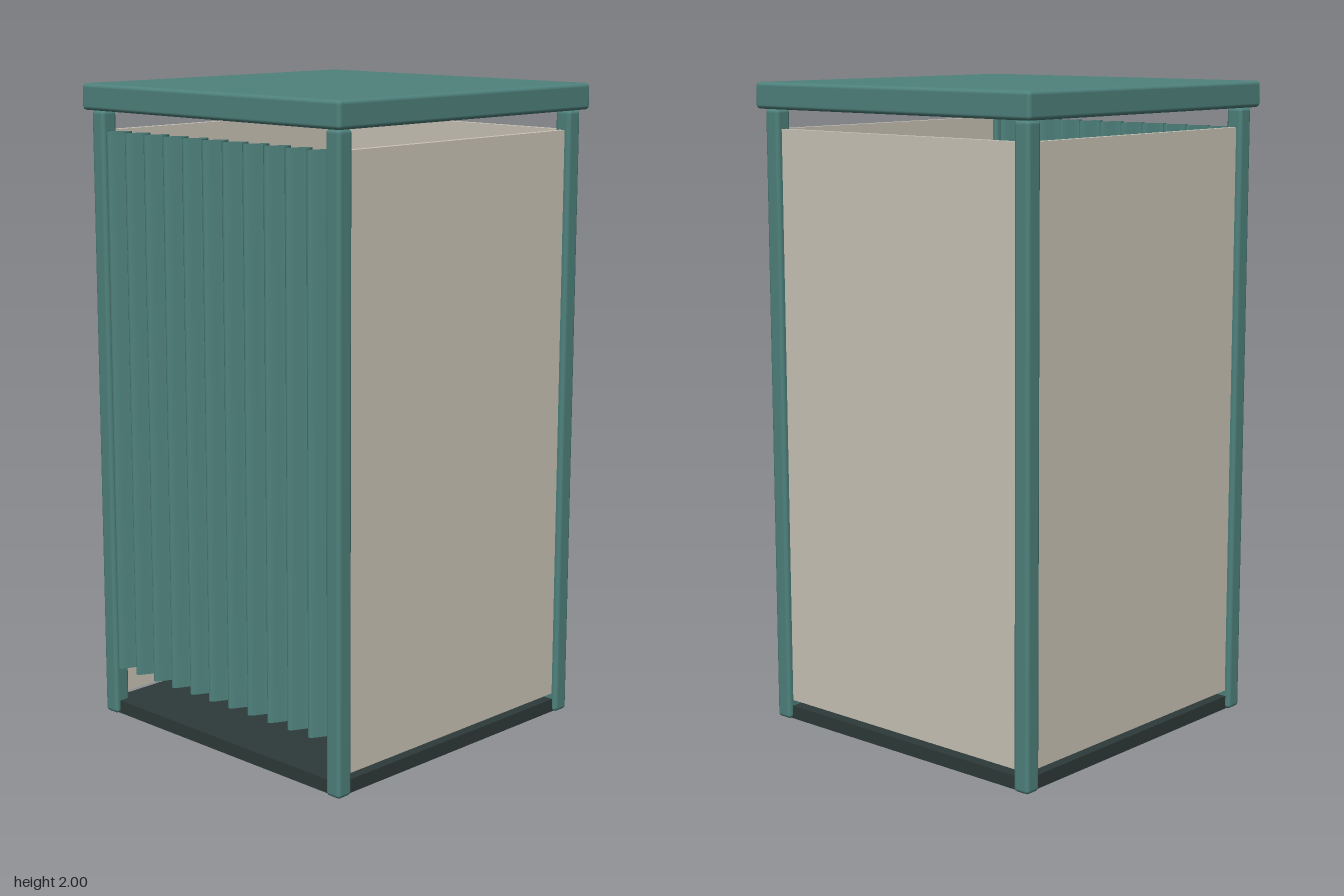
import * as THREE from 'three';
import { RoundedBoxGeometry } from 'three/addons/geometries/RoundedBoxGeometry.js';

export function createModel() {
  const group = new THREE.Group();
  group.name = 'changingCabin';

  const material = (name, color, extra = {}) => {
    const m = new THREE.MeshStandardMaterial({ color, ...extra });
    m.name = name;
    return m;
  };
  const teal = material('teal', 0x4f827d, { side: THREE.DoubleSide });
  const beige = material('beige', 0xcbc5b8);
  const dark = material('darkFloor', 0x2e3b39);

  const add = (name, geometry, mat, x, y, z) => {
    const mesh = new THREE.Mesh(geometry, mat);
    mesh.name = name;
    mesh.position.set(x, y, z);
    group.add(mesh);
    return mesh;
  };

  const post = 0.055;         // post thickness
  const line = 0.4975;        // centre line of posts, panels and curtain
  const panelHeight = 1.8;

  // Roof slab and floor
  add('roof', new RoundedBoxGeometry(1.09, 0.08, 1.09, 3, 0.012), teal, 0, 1.96, 0);
  add('floor', new THREE.BoxGeometry(1.02, 0.042, 1.02), dark, 0, 0.021, 0);

  // Four corner posts
  const postGeometry = new RoundedBoxGeometry(post, 1.92, post, 3, 0.012);
  for (const [side, sx] of [['left', 1], ['right', -1]]) {
    for (const [end, sz] of [['Front', 1], ['Back', -1]]) {
      add(`${side}${end}Post`, postGeometry, teal, sx * line, 0.96, sz * line);
    }
  }

  // Side and back wall panels
  const panelGeometry = new THREE.BoxGeometry(0.945, panelHeight, 0.02);
  const panelY = 0.06 + panelHeight / 2;
  add('backPanel', panelGeometry, beige, 0, panelY, -line);
  add('leftPanel', panelGeometry, beige, line, panelY, 0).rotation.y = Math.PI / 2;
  add('rightPanel', panelGeometry, beige, -line, panelY, 0).rotation.y = -Math.PI / 2;

  // Front curtain: a sheet rippled into eleven folds
  const width = 0.94, folds = 11;
  const curtain = new THREE.PlaneGeometry(width, 1.7, folds * 16, 1);
  const p = curtain.attributes.position;
  for (let i = 0; i < p.count; i++) {
    p.setZ(i, -0.03 * Math.sin((p.getX(i) / width) * folds * Math.PI * 2));
  }
  curtain.computeVertexNormals();
  add('curtain', curtain, teal, 0, 1.01, line);

  return group;
}
